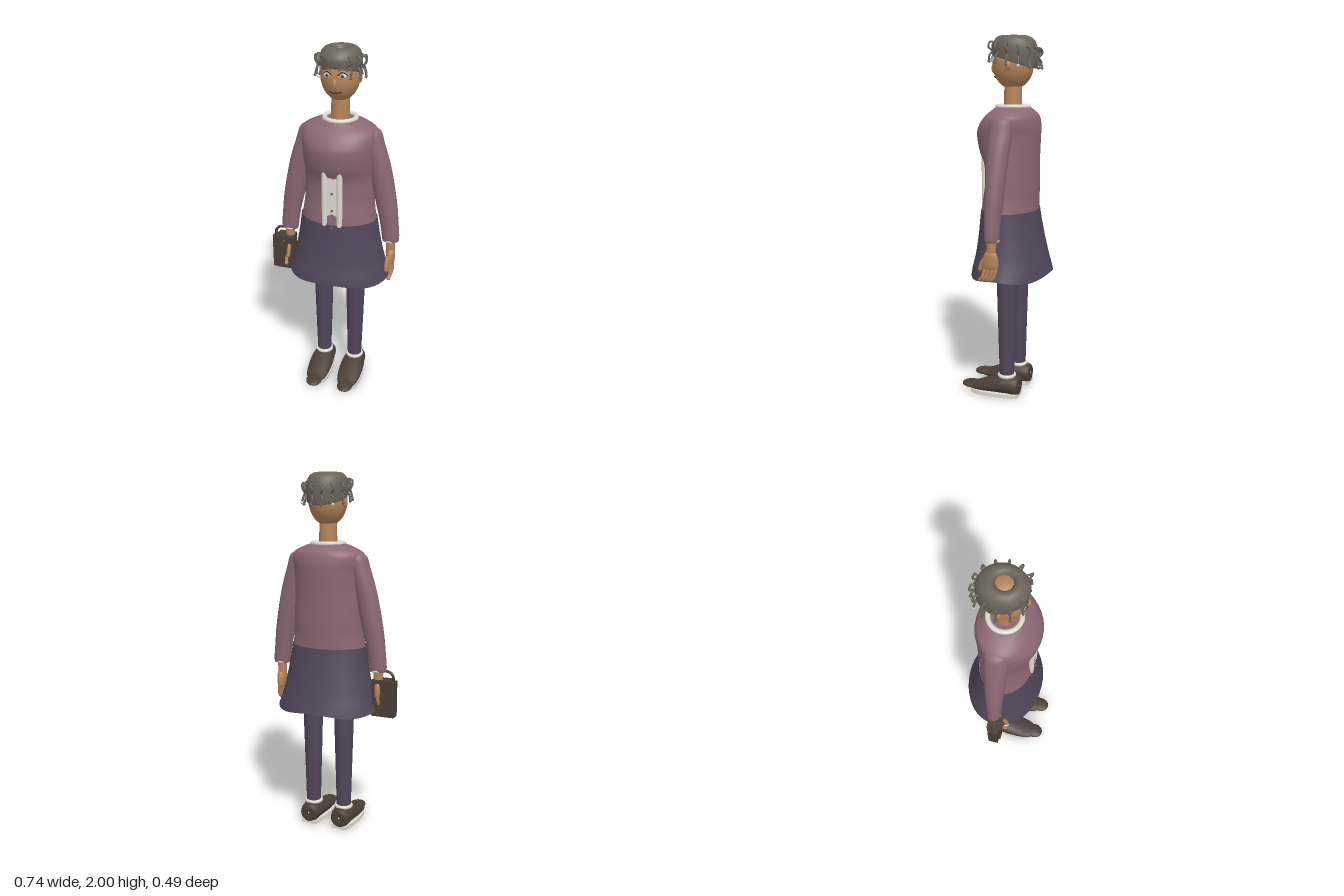
import * as THREE from 'three';

const paint = (name, color, double) => {
  const m = new THREE.MeshStandardMaterial({ color });
  m.name = name;
  if (double) m.side = THREE.DoubleSide;
  return m;
};

// Skin stretched over elliptical rings [y, centreX, centreZ, radiusX, radiusZ], bottom to top
function loft(rings, seg = 32, rule) {
  const pos = [], idx = [];
  rings.forEach(([y, cx, cz, rx, rz], i) => {
    for (let j = 0; j < seg; j++) {
      const a = (j / seg) * Math.PI * 2;
      const p = new THREE.Vector3(cx + rx * Math.cos(a), y, cz + rz * Math.sin(a));
      if (rule) rule(p, i, a);
      pos.push(p.x, p.y, p.z);
      if (i < rings.length - 1) {
        const k = (j + 1) % seg, b = i * seg, t = b + seg;
        idx.push(b + j, t + j, b + k, b + k, t + j, t + k);
      }
    }
  });
  const g = new THREE.BufferGeometry();
  g.setAttribute('position', new THREE.Float32BufferAttribute(pos, 3));
  g.setIndex(idx);
  g.computeVertexNormals();
  return g;
}

// Rings given by the front and back z of the outline: [y, halfWidth, front, back]
const bodyRings = (rows) => rows.map(([y, w, f, b]) => [y, 0, (f + b) / 2, w, (f - b) / 2]);

// Smooth sequence of rings through a few key rings
function smooth(rows, n) {
  const out = [], cols = rows[0].length;
  for (let i = 0; i <= n; i++) {
    const t = (i / n) * (rows.length - 1), k = Math.min(Math.floor(t), rows.length - 2), f = t - k;
    const row = [];
    for (let c = 0; c < cols; c++) {
      const at = (q) => rows[Math.max(0, Math.min(rows.length - 1, q))][c];
      const p0 = at(k - 1), p1 = at(k), p2 = at(k + 1), p3 = at(k + 2);
      row.push(p1 + 0.5 * f * (p2 - p0 + f * (2 * p0 - 5 * p1 + 4 * p2 - p3 + f * (3 * (p1 - p2) + p3 - p0))));
    }
    out.push(row);
  }
  return out;
}

const tube = (pts, r, seg = 16) => new THREE.TubeGeometry(
  new THREE.CatmullRomCurve3(pts.map((p) => new THREE.Vector3(...p))), seg, r, 8);

export function createModel() {
  const skin = paint('skin', 0xb5855a), wool = paint('mauve wool', 0x8b6873);
  const cloth = paint('plum cloth', 0x51465a, true), hairMat = paint('grey hair', 0x6a645a);
  const leather = paint('brown leather', 0x4b3f37), white = paint('off white', 0xdedacf, true);
  const dark = paint('dark', 0x2a2425), lip = paint('lips', 0x7d4f3c);

  const model = new THREE.Group();
  const body = new THREE.Group();
  body.name = 'body';
  body.position.x = 0.023;
  model.add(body);
  const add = (name, geo, mat, x = 0, y = 0, z = 0, parent = body) => {
    const m = new THREE.Mesh(geo, mat);
    m.name = name;
    m.position.set(x, y, z);
    parent.add(m);
    return m;
  };

  // Jumper and skirt
  add('jumper', loft(smooth(bodyRings([
    [1.05, 0.213, 0.138, -0.168], [1.13, 0.2, 0.13, -0.168], [1.2, 0.195, 0.12, -0.17], [1.31, 0.192, 0.122, -0.17],
    [1.39, 0.195, 0.152, -0.172], [1.48, 0.2, 0.166, -0.176], [1.53, 0.207, 0.15, -0.175],
    [1.575, 0.2, 0.117, -0.164], [1.605, 0.15, 0.085, -0.14], [1.625, 0.09, 0.06, -0.114], [1.625, 0.04, 0.015, -0.067]]), 50), 40), wool);
  add('skirt', loft(smooth(bodyRings([
    [0.71, 0.295, 0.193, -0.246], [0.75, 0.282, 0.187, -0.236], [0.82, 0.26, 0.17, -0.218],
    [0.92, 0.238, 0.155, -0.196], [1.02, 0.222, 0.145, -0.177], [1.068, 0.215, 0.14, -0.17]]), 20), 48,
    (p, i, a) => { if (i < 4) p.y -= 0.009 * Math.cos(4 * a + Math.PI) * (1 - i / 4); }), cloth);

  // Shirt front: two straight bands and a notched panel between them
  for (const x of [-0.043, 0.04]) {
    add('shirtBand', new THREE.CylinderGeometry(0.016, 0.016, 0.35, 12), white, x, 1.235, 0.126);
  }
  const notch = new THREE.Shape([[-0.03, 1.1], [0, 1.13], [0.025, 1.09], [0.025, 1.365], [0.004, 1.33], [-0.014, 1.36], [-0.03, 1.35]]
    .map(([x, y]) => new THREE.Vector2(x, y)));
  add('shirtPanel', new THREE.ExtrudeGeometry(notch, { depth: 0.008, bevelEnabled: false }), white, 0, 0, 0.122);
  for (const [y, z] of [[1.05, 0.143], [1.15, 0.133], [1.25, 0.133]]) {
    add('button', new THREE.SphereGeometry(0.007, 10, 8), hairMat, 0, y, z);
  }

  // Neck and collar
  add('neck', new THREE.CylinderGeometry(0.047, 0.05, 0.18, 24), skin, 0, 1.69, -0.027);
  add('collar', new THREE.TorusGeometry(0.084, 0.013, 12, 36).rotateX(Math.PI / 2), white, 0, 1.626, -0.027);

  // Head and face
  add('head', new THREE.SphereGeometry(1, 36, 28).scale(0.103, 0.134, 0.113), skin, 0, 1.852, -0.027);
  add('nose', new THREE.SphereGeometry(1, 14, 10).scale(0.012, 0.026, 0.014), skin, 0, 1.828, 0.084);
  add('mouth', tube([[-0.033, 1.786, 0.063], [0, 1.782, 0.074], [0.033, 1.786, 0.063]], 0.005), lip);
  add('mouthLine', tube([[-0.03, 1.786, 0.068], [0, 1.784, 0.079], [0.03, 1.786, 0.068]], 0.002), dark);
  for (const s of [-1, 1]) {
    add('eye', new THREE.SphereGeometry(1, 16, 12).scale(0.021, 0.016, 0.014), white, 0.04 * s, 1.872, 0.069);
    add('iris', new THREE.SphereGeometry(0.009, 12, 10), hairMat, 0.04 * s, 1.872, 0.078);
    add('pupil', new THREE.SphereGeometry(0.005, 10, 8), dark, 0.04 * s, 1.872, 0.084);
    add('eyelid', tube([[0.016 * s, 1.875, 0.083], [0.04 * s, 1.889, 0.079], [0.064 * s, 1.874, 0.067]], 0.003), dark);
    add('eyebrow', tube([[0.016 * s, 1.897, 0.083], [0.04 * s, 1.904, 0.077], [0.066 * s, 1.894, 0.061]], 0.004), hairMat);
    add('ear', new THREE.SphereGeometry(1, 12, 10).scale(0.012, 0.026, 0.018), skin, 0.1 * s, 1.84, -0.035);
  }

  // Hair cap with a tilted lower edge and an opening on the crown
  add('hair', loft(smooth([
    [1.875, 0, -0.033, 0.095, 0.105], [1.866, 0, -0.035, 0.106, 0.12], [1.9, 0, -0.036, 0.109, 0.126],
    [1.94, 0, -0.036, 0.109, 0.125], [1.975, 0, -0.034, 0.098, 0.108], [1.995, 0, -0.03, 0.075, 0.08],
    [1.995, 0, -0.028, 0.053, 0.055], [1.975, 0, -0.027, 0.038, 0.04], [1.95, 0, -0.027, 0.034, 0.036]], 32), 40,
    (p) => { p.y += (p.z + 0.035) * 0.33 * Math.max(0, Math.min(1, (1.97 - p.y) / 0.1)); }), hairMat);

  // Curls hanging around the cap, each ending in a bead
  for (let i = 0; i < 14; i++) {
    const a = ((i + 0.5) / 14) * Math.PI * 2 + Math.PI / 2;
    const c = Math.cos(a), s = Math.sin(a);
    if (s > 0.85) continue;
    const drop = 0.02 * s;
    const at = (r, y, w) => [c * (0.109 + r) - s * w, y + drop, -0.036 + s * (0.124 + r)];
    add('curl', tube([at(-0.006, 1.945, 0), at(0.015, 1.95, 0.008), at(0.024, 1.925, -0.007),
      at(0.008, 1.9, 0.006), at(0.018, 1.88, -0.006), at(0.022, 1.855, 0)], 0.0055, 24), hairMat);
    add('curlBead', new THREE.SphereGeometry(0.008, 10, 8), i % 4 === 1 ? white : hairMat, ...at(0.023, 1.848, 0));
  }

  for (const s of [-1, 1]) {
    // Sleeves and cuffs
    add('sleeve', loft(smooth([
      [0.95, 0.28, -0.02, 0.03, 0.026], [0.945, 0.295, -0.021, 0.047, 0.037], [1.06, 0.282, -0.021, 0.052, 0.043],
      [1.18, 0.261, -0.023, 0.059, 0.05], [1.365, 0.223, -0.025, 0.06, 0.058], [1.5, 0.187, -0.027, 0.054, 0.063],
      [1.565, 0.171, -0.028, 0.046, 0.055], [1.598, 0.14, -0.028, 0.01, 0.01]], 32)
      .map(([y, x, ...r]) => [y, x * s, ...r]), 24), wool);
    add('cuff', new THREE.TorusGeometry(0.03, 0.009, 10, 24).rotateX(Math.PI / 2), white, 0.293 * s, 0.945, -0.021);

    // Hands
    const hand = new THREE.Group();
    hand.name = 'hand';
    hand.position.set(0.3 * s, 0, -0.015);
    body.add(hand);
    add('wrist', new THREE.CylinderGeometry(0.027, 0.025, 0.1, 16), skin, -0.004 * s, 0.91, -0.003, hand);
    add('palm', loft(smooth([[0.79, 0, 0, 0.008, 0.03], [0.8, 0, 0, 0.02, 0.042], [0.84, 0, 0, 0.024, 0.044],
      [0.875, 0, 0, 0.023, 0.034], [0.895, 0, 0, 0.01, 0.015]], 14), 20), skin, 0, 0, 0, hand);
    for (let f = 0; f < 4; f++) {
      const z = -0.031 + f * 0.021;
      add('finger', tube([[0, 0.81, z], [0.006 * s, 0.775, z + 0.004], [0.008 * s, 0.745, z + 0.014], [0.004 * s, 0.73, z + 0.028]], 0.01), skin, 0, 0, 0, hand);
      add('fingertip', new THREE.SphereGeometry(0.01, 10, 8), skin, 0.004 * s, 0.73, z + 0.028, hand);
    }
    add('thumb', tube([[-0.01 * s, 0.855, 0.03], [-0.012 * s, 0.82, 0.055], [-0.01 * s, 0.785, 0.064]], 0.011), skin, 0, 0, 0, hand);
    add('thumbTip', new THREE.SphereGeometry(0.011, 10, 8), skin, -0.01 * s, 0.785, 0.064, hand);

    // Legs and socks
    const x = 0.096 * s;
    add('leg', new THREE.CylinderGeometry(0.065, 0.041, 0.88, 24), cloth, x, 0.55, -0.027);
    add('sock', new THREE.TorusGeometry(0.042, 0.011, 10, 24).rotateX(Math.PI / 2), white, x, 0.12, -0.027);

    // Shoes: sections along z as [z, halfWidth, top, bottom], laid forward
    const along = (rows, n) => loft(smooth(rows, n).map(([z, w, t, b]) => [z, 0, -(t + b) / 2, w, (t - b) / 2]), 24).rotateX(Math.PI / 2);
    const flip = (g) => { g.rotateX(-Math.PI / 2).rotateX(Math.PI / 2); return g; };
    add('shoe', flip(along([[-0.1, 0.004, 0.07, 0.06], [-0.098, 0.05, 0.112, 0.01], [-0.03, 0.063, 0.122, 0.01], [0.03, 0.07, 0.107, 0.012],
      [0.1, 0.068, 0.08, 0.012], [0.16, 0.056, 0.055, 0.014], [0.2, 0.03, 0.045, 0.018], [0.21, 0.002, 0.032, 0.028]], 32)), leather, x);
    add('shoeToe', flip(along([[0.14, 0.004, 0.038, 0.03], [0.16, 0.038, 0.053, 0.017], [0.2, 0.046, 0.053, 0.016],
      [0.235, 0.03, 0.045, 0.022], [0.247, 0.002, 0.036, 0.032]], 20)), leather, x);
    const outline = new THREE.Shape();
    outline.moveTo(-0.045, 0.1);
    outline.bezierCurveTo(-0.06, 0.03, -0.085, -0.08, -0.05, -0.17);
    outline.quadraticCurveTo(0, -0.205, 0.05, -0.17);
    outline.bezierCurveTo(0.085, -0.08, 0.06, 0.03, 0.045, 0.1);
    add('sole', new THREE.ExtrudeGeometry(outline, { depth: 0.022, bevelEnabled: false, curveSegments: 10 }).rotateX(-Math.PI / 2), white, x, 0, 0);
  }

  // Handbag
  const bag = new THREE.Group();
  bag.name = 'handbag';
  bag.position.set(-0.305, 0, -0.008);
  model.add(bag);
  add('bagBody', new THREE.BoxGeometry(0.1, 0.2, 0.076), leather, 0.01, 0.79, 0, bag);
  add('bagSide', new THREE.BoxGeometry(0.13, 0.2, 0.056), leather, 0, 0.787, 0, bag);
  add('bagFlap', new THREE.BoxGeometry(0.104, 0.02, 0.08), leather, 0.01, 0.885, 0, bag);
  add('bagHandle', tube([[-0.053, 0.88, 0], [-0.05, 0.915, 0], [-0.028, 0.938, 0], [0.015, 0.938, 0], [0.037, 0.915, 0], [0.04, 0.88, 0]], 0.008, 28), leather, 0, 0, 0, bag);
  add('bagClasp', new THREE.SphereGeometry(0.006, 10, 8), hairMat, 0.01, 0.87, 0.04, bag);
  return model;
}
